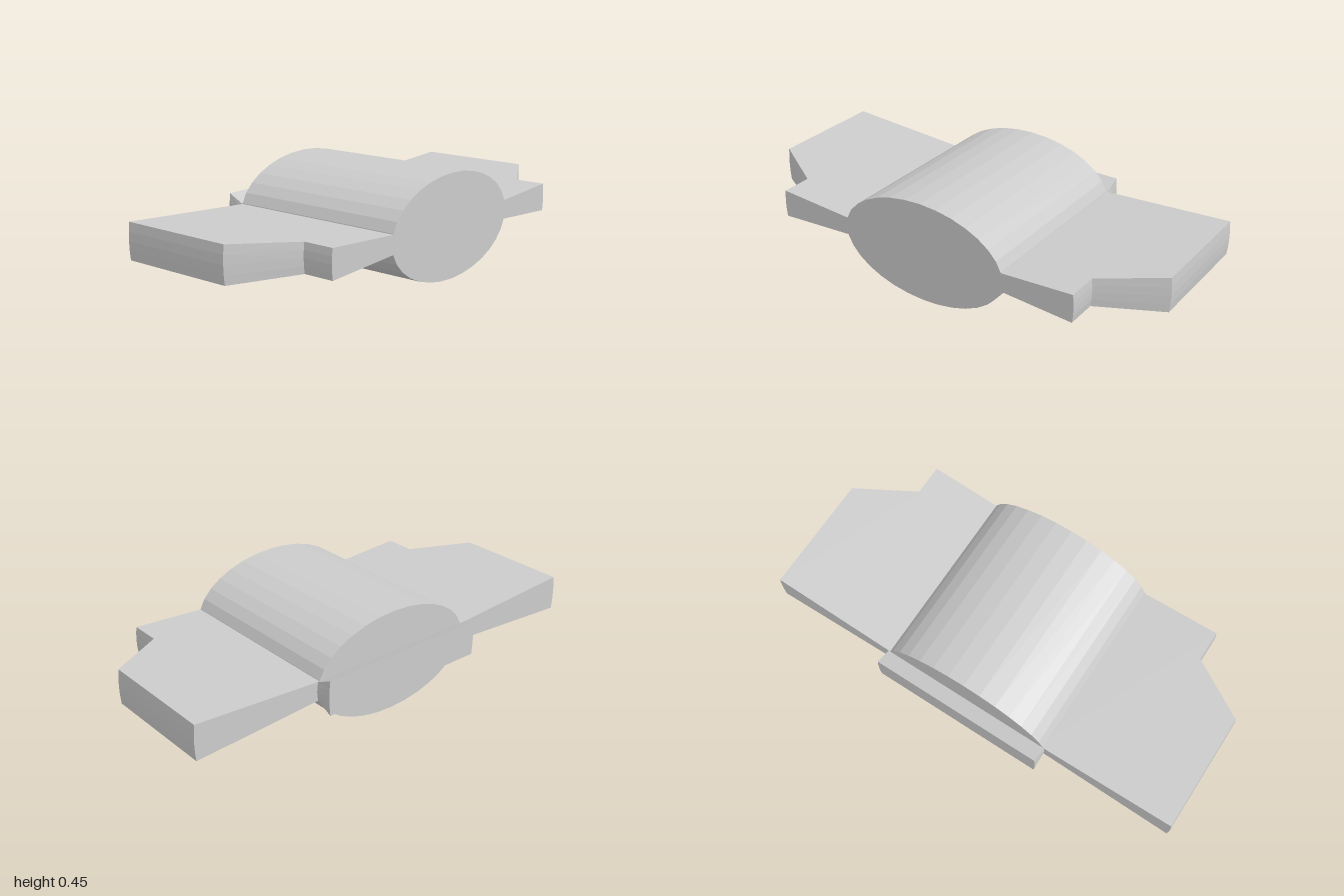
import * as THREE from 'three';

const MID = 0.227;   // height of the horizontal mid-plane
const ZC = -0.015;   // z of the body axis
const material = new THREE.MeshStandardMaterial({ color: 0xcccccc, flatShading: true });

// Extrudes an outline of [x, z] points along y, with a thickness and a bowed
// rim set by the functions half(x, z) and bow(x, z).
function wedge(name, outline, half, bow) {
  const shape = new THREE.Shape(outline.map(([x, z]) => new THREE.Vector2(x, -z)));
  const geometry = new THREE.ExtrudeGeometry(shape, { depth: 2, steps: 4, bevelEnabled: false });
  geometry.rotateX(-Math.PI / 2);
  const p = geometry.attributes.position;
  for (let i = 0; i < p.count; i++) {
    const x = p.getX(i), z = p.getZ(i), t = p.getY(i) - 1;
    p.setXYZ(i, x, MID + t * half(x, z), z + bow(x, z) * (1 - t * t));
  }
  geometry.computeVertexNormals();
  const mesh = new THREE.Mesh(geometry, material);
  mesh.name = name;
  return mesh;
}

export function createModel() {
  const model = new THREE.Group();
  model.name = 'wingedBody';

  // Elliptical body lying along x
  const bodyGeometry = new THREE.CylinderGeometry(1, 1, 0.835, 32);
  bodyGeometry.rotateZ(-Math.PI / 2);
  bodyGeometry.scale(1, MID, 0.4);
  const body = new THREE.Mesh(bodyGeometry, material);
  body.name = 'body';
  body.position.set(0.0375, MID, ZC);
  model.add(body);

  // Stepped wings that thicken toward their tips
  for (const [name, s] of [['frontWing', 1], ['backWing', -1]]) {
    const root = s * 0.375 + ZC;
    const outline = [
      [-0.38, root], [-0.38, s * 0.995], [0.157, s * 0.995],
      [0.315, s * 0.735], [0.455, s * 0.735], [0.455, root],
    ];
    model.add(wedge(name, outline,
      (x, z) => 0.042 + (Math.abs(z) - 0.4) * 0.062,
      (x, z) => (Math.abs(z) > 0.6 ? s * 0.005 : 0)));
  }

  // Flared strip across the end of the body
  const tail = [[-0.455, -0.415], [-0.38, -0.415], [-0.38, 0.38], [-0.455, 0.38]];
  model.add(wedge('endFlange', tail,
    (x) => 0.042 + (-0.38 - x) * 0.49,
    (x, z) => Math.sign(z) * 0.005));

  return model;
}
